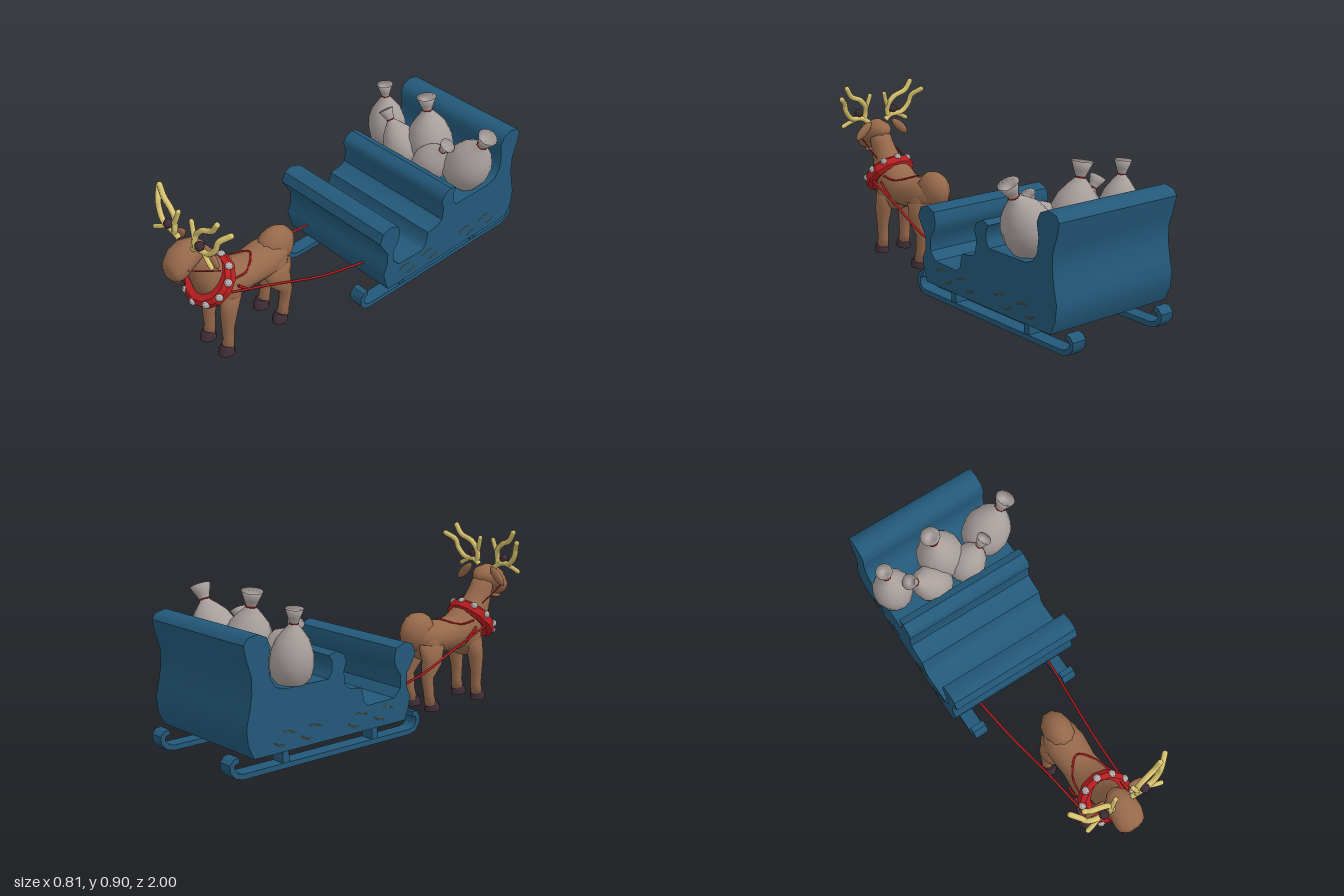
import * as THREE from 'three';
import { toCreasedNormals } from 'three/addons/utils/BufferGeometryUtils.js';

const mat = (name, color, side = THREE.FrontSide) => {
  const m = new THREE.MeshStandardMaterial({ color, side });
  m.name = name;
  return m;
};
const V = (x, y, z) => new THREE.Vector3(x, y, z);

// Tube of elliptical rings; sections are [x, y, z, halfWidth, halfDepth], rings follow the path in the yz plane
function loft(sections, n = 14) {
  const pos = [], idx = [], last = sections.length - 1, X = V(1, 0, 0);
  const centre = (i) => V(...sections[i].slice(0, 3));
  sections.forEach((s, k) => {
    const t = centre(Math.min(k + 1, last)).sub(centre(Math.max(k - 1, 0))).setX(0).normalize();
    const N = t.cross(X);
    for (let i = 0; i < n; i++) {
      const a = (i / n) * Math.PI * 2;
      const p = centre(k).addScaledVector(X, Math.cos(a) * s[3]).addScaledVector(N, Math.sin(a) * s[4]);
      pos.push(p.x, p.y, p.z);
      if (k < last) {
        const a0 = k * n + i, b0 = k * n + ((i + 1) % n);
        idx.push(a0, b0, a0 + n, b0, b0 + n, a0 + n);
      }
    }
  });
  const c0 = pos.length / 3;
  pos.push(...centre(0).toArray(), ...centre(last).toArray());
  for (let i = 0; i < n; i++) {
    const j = (i + 1) % n;
    idx.push(c0, j, i, c0 + 1, last * n + i, last * n + j);
  }
  const g = new THREE.BufferGeometry();
  g.setAttribute('position', new THREE.Float32BufferAttribute(pos, 3));
  g.setIndex(idx);
  g.computeVertexNormals();
  return g;
}

// Side profile of [z, y] points extruded between two x positions
function slab(points, x0, x1) {
  const shape = new THREE.Shape(points.map(([z, y]) => new THREE.Vector2(z, y)));
  const g = new THREE.ExtrudeGeometry(shape, { depth: x1 - x0, bevelEnabled: false });
  g.rotateY(-Math.PI / 2).translate(x1, 0, 0);
  return toCreasedNormals(g, 0.75);
}

// Outline of a band of even thickness around a path
function band(path, thick) {
  const offset = (s) => path.map(([z, y], i) => {
    const a = path[Math.max(i - 1, 0)], b = path[Math.min(i + 1, path.length - 1)];
    const dz = b[0] - a[0], dy = b[1] - a[1], l = Math.hypot(dz, dy);
    return [z - (dy / l) * s, y + (dz / l) * s];
  });
  return [...offset(thick / 2), ...offset(-thick / 2).reverse()];
}

const tube = (pts, r, sides = 8, seg = 20) =>
  new THREE.TubeGeometry(new THREE.CatmullRomCurve3(pts.map((p) => V(...p))), seg, r, sides);

export function createModel() {
  const blue = mat('sleighBlue', 0x23597a);
  const brown = mat('coatBrown', 0x97694b);
  const dark = mat('hoofDark', 0x412d38);
  const red = mat('harnessRed', 0xb81d20, THREE.DoubleSide);
  const grey = mat('sackGrey', 0xa9a09d, THREE.DoubleSide);
  const horn = mat('antlerYellow', 0xd9c46f);
  const silver = mat('bellSilver', 0xb4b0ae);
  const gold = mat('ornamentGold', 0x9a7434);

  const root = new THREE.Group();
  const add = (parent, name, geo, m) => {
    const mesh = new THREE.Mesh(geo, m);
    mesh.name = name;
    parent.add(mesh);
    return mesh;
  };
  const group = (name, parent = root) => {
    const g = new THREE.Group();
    g.name = name;
    parent.add(g);
    return g;
  };

  // Sleigh body: rolled front, stepped seat, load bed and tall rolled back
  const sleigh = group('sleigh');
  add(sleigh, 'sleighBody', slab([
    [-0.03, 0.1], [-0.905, 0.1], [-0.935, 0.165], [-0.942, 0.24], [-0.925, 0.31], [-0.912, 0.38], [-0.912, 0.46],
    [-0.938, 0.54], [-0.95, 0.6], [-0.93, 0.628], [-0.875, 0.64], [-0.83, 0.62], [-0.81, 0.575], [-0.822, 0.51],
    [-0.815, 0.44], [-0.785, 0.395], [-0.74, 0.38], [-0.495, 0.38], [-0.475, 0.41], [-0.472, 0.455], [-0.49, 0.485],
    [-0.45, 0.5], [-0.405, 0.48], [-0.39, 0.445], [-0.405, 0.4], [-0.397, 0.335], [-0.37, 0.315], [-0.3, 0.305],
    [-0.283, 0.235], [-0.26, 0.215], [-0.1, 0.22], [-0.06, 0.26], [-0.06, 0.325], [-0.092, 0.37], [-0.1, 0.41],
    [-0.088, 0.455], [-0.03, 0.476], [0.015, 0.46], [0.034, 0.41], [0.01, 0.37], [-0.02, 0.325], [-0.02, 0.26],
    [0.003, 0.21], [-0.01, 0.15],
  ], -0.37, 0.33), blue);

  // Runners with curled ends, and their posts
  const runner = band([
    [0.062, 0.101], [0.085, 0.1], [0.099, 0.08], [0.097, 0.05], [0.078, 0.025], [0.045, 0.016], [-0.93, 0.016],
    [-0.962, 0.025], [-0.985, 0.05], [-0.987, 0.075], [-0.972, 0.091], [-0.95, 0.093],
  ], 0.025);
  for (const x of [-0.287, 0.248]) {
    add(sleigh, 'runner', slab(runner, x - 0.037, x + 0.037), blue);
    for (const z of [-0.175, -0.698]) {
      add(sleigh, 'runnerPost', new THREE.BoxGeometry(0.07, 0.09, 0.035), blue).position.set(x, 0.065, z);
    }
  }

  // Thin scroll ornaments on both flanks
  for (const x of [-0.37, 0.33]) {
    for (const z of [-0.16, -0.32, -0.59, -0.74]) {
      for (const start of [0.5, 3.4]) {
        const g = new THREE.TorusGeometry(0.06, 0.004, 4, 12, 1.3).rotateZ(start);
        g.scale(1, 0.5, 0.5).rotateY(-Math.PI / 2);
        add(sleigh, 'scrollOrnament', g, gold).position.set(x, 0.16, z);
      }
    }
  }

  // Sacks: round body, pinched neck, flared mouth
  const sacks = group('sacks');
  const sackProfile = [[0, -1.05], [0.6, -1], [0.9, -0.65], [1, -0.15], [0.95, 0.3], [0.75, 0.75], [0.45, 1.1],
    [0.22, 1.33], [0.2, 1.42], [0.28, 1.6], [0.42, 1.95], [0.2, 1.75], [0, 1.68]].map(([r, y]) => new THREE.Vector2(r, y));
  for (const [x, y, z, r, h, tilt] of [
    [-0.31, 0.485, -0.65, 0.1, 0.118, 0.1], [-0.02, 0.51, -0.67, 0.12, 0.126, 0.16], [0.25, 0.5, -0.66, 0.12, 0.125, -0.48],
    [-0.13, 0.475, -0.575, 0.095, 0.1, 0.65], [0.08, 0.47, -0.575, 0.093, 0.093, -0.6],
  ]) {
    const s = group('sack', sacks);
    add(s, 'sackBody', new THREE.LatheGeometry(sackProfile, 14), grey);
    add(s, 'sackTie', new THREE.TorusGeometry(0.21, 0.025, 4, 12).rotateX(Math.PI / 2), red).position.y = 1.38;
    s.position.set(x, y, z);
    s.rotation.z = tilt;
    s.scale.set(r, h, r);
  }

  // Deer: torso running into the neck
  const deer = group('deer');
  deer.position.x = -0.02;
  add(deer, 'torsoAndNeck', loft([
    [0, 0.38, 0.33, 0.04, 0.05], [0, 0.375, 0.38, 0.085, 0.08], [0, 0.365, 0.46, 0.1, 0.088], [0, 0.357, 0.57, 0.09, 0.083],
    [0, 0.365, 0.65, 0.098, 0.095], [0, 0.39, 0.72, 0.1, 0.11], [0, 0.44, 0.775, 0.083, 0.1], [0, 0.5, 0.81, 0.066, 0.078],
    [0, 0.56, 0.84, 0.058, 0.064], [0, 0.63, 0.87, 0.055, 0.055],
  ], 16), brown);
  const ball = (name, y, z, rx, ry, rz, w = 14, h = 10) => {
    const m = add(deer, name, new THREE.SphereGeometry(1, w, h).scale(rx, ry, rz), brown);
    m.position.set(0, y, z);
  };
  ball('chest', 0.345, 0.71, 0.112, 0.112, 0.085);
  ball('haunches', 0.34, 0.43, 0.102, 0.09, 0.085);
  ball('tail', 0.402, 0.383, 0.075, 0.1, 0.105, 10, 8);

  // Head with rounded muzzle and lower lip
  add(deer, 'head', loft([
    [0, 0.632, 0.805, 0.025, 0.025], [0, 0.635, 0.835, 0.056, 0.05], [0, 0.631, 0.885, 0.073, 0.064], [0, 0.615, 0.925, 0.077, 0.062],
    [0, 0.585, 0.95, 0.073, 0.058], [0, 0.57, 0.975, 0.066, 0.05], [0, 0.566, 0.99, 0.05, 0.038], [0, 0.565, 1.0, 0.022, 0.018],
  ], 16), brown);
  const lip = add(deer, 'lowerLip', new THREE.SphereGeometry(1, 10, 8).scale(0.03, 0.013, 0.025), brown);
  lip.position.set(0, 0.52, 0.955);

  // Legs, ears, antlers and straps, mirrored
  const frontLeg = [[0.07, 0.33, 0.715, 0.045, 0.055], [0.072, 0.24, 0.735, 0.042, 0.043], [0.071, 0.15, 0.745, 0.031, 0.031],
    [0.07, 0.08, 0.745, 0.028, 0.027], [0.07, 0.035, 0.752, 0.031, 0.032]];
  const rearLeg = [[0.06, 0.34, 0.43, 0.045, 0.085], [0.07, 0.25, 0.42, 0.043, 0.062], [0.071, 0.18, 0.388, 0.031, 0.036],
    [0.07, 0.09, 0.4, 0.026, 0.028], [0.07, 0.035, 0.412, 0.03, 0.032]];
  const antlerParts = [
    [[0.05, 0.68, 0.885], [0.09, 0.705, 0.89], [0.16, 0.715, 0.885], [0.2, 0.76, 0.875], [0.212, 0.8, 0.868], [0.252, 0.835, 0.83]],
    [[0.075, 0.7, 0.89], [0.07, 0.735, 0.89], [0.078, 0.775, 0.88], [0.11, 0.808, 0.875], [0.17, 0.835, 0.865], [0.2, 0.88, 0.86]],
    [[0.13, 0.708, 0.888], [0.17, 0.69, 0.9], [0.2, 0.675, 0.905]],
    [[0.072, 0.75, 0.89], [0.058, 0.785, 0.885], [0.046, 0.825, 0.88]],
  ];
  for (const s of [-1, 1]) {
    const flip = (pts) => pts.map(([x, ...rest]) => [x * s, ...rest]);
    add(deer, 'frontLeg', loft(flip(frontLeg), 10), brown);
    add(deer, 'rearLeg', loft(flip(rearLeg), 10), brown);
    for (const z of [0.752, 0.42]) {
      add(deer, 'hoof', toCreasedNormals(loft(flip([[0.07, 0.046, z, 0.03, 0.032], [0.07, 0.02, z + 0.007, 0.036, 0.042],
        [0.07, 0, z + 0.008, 0.037, 0.044]]), 10), 0.8), dark);
    }
    const ear = add(deer, 'ear', new THREE.SphereGeometry(1, 10, 8).scale(0.065, 0.024, 0.017), brown);
    ear.position.set(s * 0.115, 0.648, 0.84);
    ear.rotation.z = -s * 0.72;

    const antler = group('antler', deer);
    antlerParts.forEach((pts, i) => {
      const p = flip(pts), r = i < 2 ? 0.014 : 0.012;
      add(antler, i < 2 ? 'antlerBeam' : 'antlerTine', tube(p, r), horn);
      add(antler, 'antlerTip', new THREE.SphereGeometry(r, 8, 6), horn).position.set(...p[p.length - 1]);
    });
    add(antler, 'antlerBauble', toCreasedNormals(new THREE.IcosahedronGeometry(0.023, 1), 0.1), dark)
      .position.set(s * 0.11, 0.735, 0.895);

    add(deer, 'pullStrap', tube(flip([[0.125, 0.4, 0.75], [0.145, 0.325, 0.52], [0.178, 0.24, 0.25], [0.205, 0.2, 0]]), 0.006, 6), red);
    add(deer, 'headRein', tube(flip([[0.074, 0.59, 0.92], [0.077, 0.555, 0.86], [0.082, 0.51, 0.77]]), 0.003, 5), red);
    add(deer, 'sideStrap', tube(flip([[0.11, 0.4, 0.7], [0.106, 0.36, 0.66], [0.1, 0.33, 0.63]]), 0.007, 5), red);
  }
  add(deer, 'backStrap', tube([[-0.09, 0.43, 0.7], [-0.075, 0.42, 0.62], [0, 0.446, 0.54], [0.075, 0.42, 0.62], [0.09, 0.43, 0.7]], 0.005, 5, 28), red);
  add(deer, 'noseBand', tube([[-0.075, 0.6, 0.935], [-0.045, 0.612, 0.978], [0, 0.615, 0.985], [0.045, 0.612, 0.978], [0.075, 0.6, 0.935]], 0.003, 5), red);

  // Faceted collar tilted around the neck, with bells
  const collar = group('collar', deer);
  collar.position.set(0, 0.418, 0.777);
  collar.rotation.x = -0.78;
  const collarProfile = [[0.078, -0.026], [0.115, -0.034], [0.136, -0.018], [0.136, 0.018], [0.115, 0.034], [0.078, 0.026], [0.078, -0.026]];
  const ring = new THREE.LatheGeometry(collarProfile.map(([r, y]) => new THREE.Vector2(r, y)), 12).rotateX(Math.PI / 2);
  add(collar, 'collarRing', toCreasedNormals(ring, 0.1), red);
  for (let i = 0; i < 10; i++) {
    const a = (i / 10) * Math.PI * 2 - Math.PI / 2;
    add(collar, 'bell', toCreasedNormals(new THREE.IcosahedronGeometry(0.02, 1), 0.1), silver)
      .position.set(Math.cos(a) * 0.124, Math.sin(a) * 0.124, 0.016);
  }
  return root;
}
